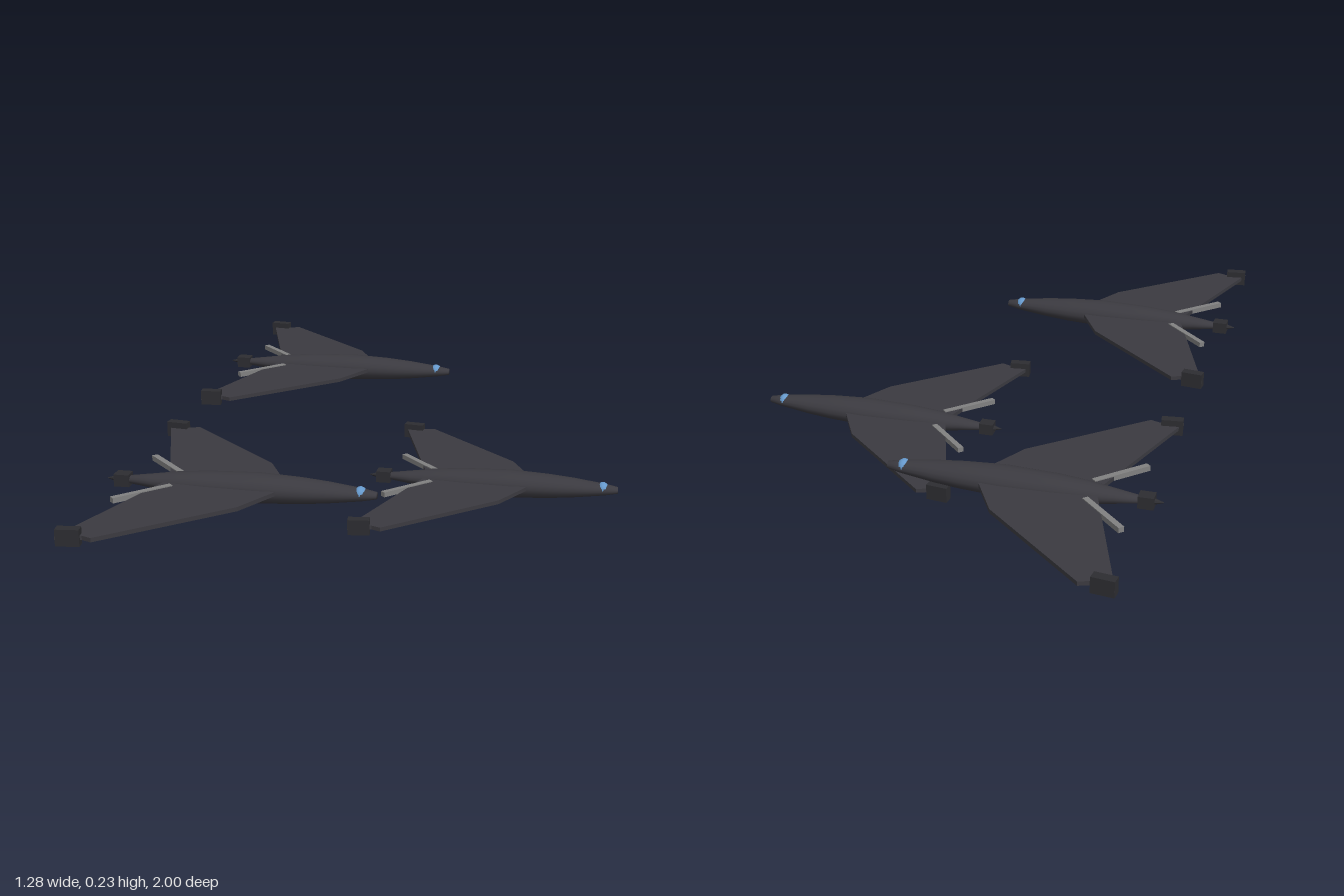
import * as THREE from 'three';

const mat = (name, color, flatShading = false) => {
  const m = new THREE.MeshStandardMaterial({ color });
  m.name = name;
  m.flatShading = flatShading;
  return m;
};

function createAircraft(mats) {
  const plane = new THREE.Group();
  const add = (name, geo, material, x = 0, y = 0, z = 0, turn = 0) => {
    const mesh = new THREE.Mesh(geo, material);
    mesh.name = name;
    mesh.position.set(x, y, z);
    mesh.rotation.y = turn;
    plane.add(mesh);
    return mesh;
  };

  // Spindle fuselage along x, wider than tall
  const profile = [
    [-0.01, 0], [-0.01, 0.01], [0.05, 0.018], [0.115, 0.027], [0.2, 0.034], [0.335, 0.038],
    [0.44, 0.033], [0.51, 0.027], [0.6, 0.016], [0.637, 0.009], [0.637, 0],
  ].map(([x, r]) => new THREE.Vector2(r, x));
  const body = new THREE.LatheGeometry(profile, 16).rotateZ(-Math.PI / 2).scale(1, 1, 1.32);
  add('fuselage', body, mats.body);

  // Cockpit glass bulging through the nose
  add('canopy', new THREE.SphereGeometry(0.019, 12, 8).scale(0.9, 1, 1.15), mats.glass, 0.595, 0.002, 0);

  // Tail nozzle and spike
  add('tailNozzle', new THREE.BoxGeometry(0.04, 0.032, 0.036), mats.dark, -0.028);
  const spike = new THREE.CylinderGeometry(0.001, 0.008, 0.024, 8).rotateZ(Math.PI / 2).scale(1, 1, 1.2);
  add('tailSpike', spike, mats.dark, -0.058);

  for (const s of [1, -1]) {
    const side = s > 0 ? 'right' : 'left';

    // Swept cranked wing
    const outline = [
      [0.37, 0], [0.386, 0.045], [0.323, 0.165], [0.045, 0.425], [0.02, 0.415],
      [-0.042, 0.43], [0.01, 0.27], [0.083, 0.045], [0.1, 0],
    ].map(([x, z]) => new THREE.Vector2(x, z * s));
    const wing = new THREE.ExtrudeGeometry(new THREE.Shape(outline), { depth: 0.011, bevelEnabled: false });
    add(side + 'Wing', wing.rotateX(Math.PI / 2), mats.body, 0, 0.0085, 0);

    // Wingtip pod
    add(side + 'WingtipPod', new THREE.BoxGeometry(0.058, 0.042, 0.026), mats.dark, -0.014, 0.004, 0.414 * s, 0.12 * s);

    // Slanted grey strut behind the wing root
    add(side + 'TailStrut', new THREE.BoxGeometry(0.165, 0.014, 0.016), mats.strut, 0.058, 0.004, 0.106 * s, 0.8 * s);
  }
  return plane;
}

export function createModel() {
  const mats = {
    body: mat('charcoal skin', 0x3b3a40),
    dark: mat('dark metal', 0x2d2d31, true),
    strut: mat('grey strut', 0x808080, true),
    glass: mat('blue glass', 0x6699cc),
  };
  const model = new THREE.Group();
  model.name = 'formation';

  // Leader ahead and below, two wingmen behind
  const places = [
    ['leadAircraft', 0, 0.039, 0],
    ['rightAircraft', -0.57, 0.191, 0.57],
    ['leftAircraft', -0.57, 0.191, -0.57],
  ];
  for (const [name, x, y, z] of places) {
    const plane = createAircraft(mats);
    plane.name = name;
    plane.position.set(x, y, z);
    model.add(plane);
  }
  return model;
}
